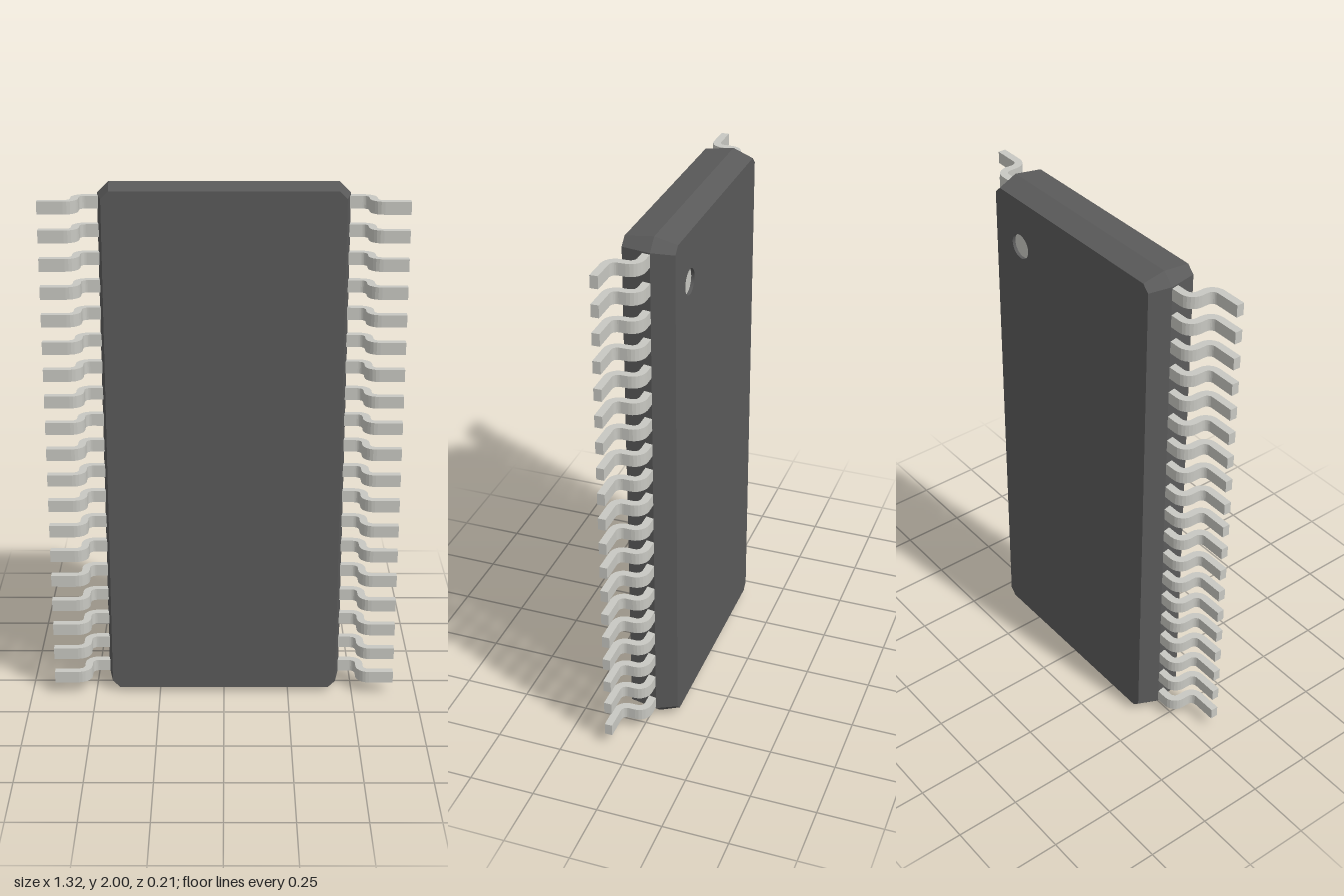
import * as THREE from 'three';

const BACK = -0.103, SEAM = -0.025, FRONT = 0.081;
const DOT = { x: 0.285, y: 1.79, r: 0.047, depth: 0.012 };

// Chamfered rectangle, counter-clockwise seen from +z
function outline(hw, hh, c) {
  return [
    [-hw + c, -hh], [hw - c, -hh], [hw, -hh + c], [hw, hh - c],
    [hw - c, hh], [-hw + c, hh], [-hw, hh - c], [-hw, -hh + c],
  ].map(([x, y]) => new THREE.Vector2(x, y + 1));
}

// Sloping wall between two outlines
function wall(a, za, b, zb) {
  const pos = [];
  a.forEach((p, i) => {
    const j = (i + 1) % a.length;
    const A = [p.x, p.y, za], B = [a[j].x, a[j].y, za];
    const C = [b[j].x, b[j].y, zb], D = [b[i].x, b[i].y, zb];
    pos.push(...A, ...B, ...C, ...A, ...C, ...D);
  });
  const geo = new THREE.BufferGeometry();
  geo.setAttribute('position', new THREE.Float32BufferAttribute(pos, 3));
  geo.computeVertexNormals();
  return geo;
}

// Bent lead cross-section in x and z, offset t from its centre line
function leadEdge(t) {
  const r = 0.036, pts = [new THREE.Vector2(0.44, -0.0105 - t)];
  for (let i = 0; i <= 6; i++) {
    const a = (i / 6) * Math.PI / 2;
    pts.push(new THREE.Vector2(0.495 + (r + t) * Math.sin(a), 0.0255 - (r + t) * Math.cos(a)));
  }
  for (let i = 0; i <= 6; i++) {
    const a = (i / 6) * Math.PI / 2;
    pts.push(new THREE.Vector2(0.567 - (r - t) * Math.cos(a), 0.0525 + (r - t) * Math.sin(a)));
  }
  pts.push(new THREE.Vector2(0.66, 0.0885 - t));
  return pts;
}

export function createModel() {
  const group = new THREE.Group();
  const plastic = new THREE.MeshStandardMaterial({ color: 0x5a5a5a });
  const metal = new THREE.MeshStandardMaterial({ color: 0xc8c8c2 });
  const add = (parent, name, geo, mat) => {
    const mesh = new THREE.Mesh(geo, mat);
    mesh.name = name;
    parent.add(mesh);
    return mesh;
  };

  // Package body: two tapered halves meeting at the seam
  const body = new THREE.Group();
  body.name = 'body';
  group.add(body);
  const back = outline(0.427, 0.975, 0.026);
  const seam = outline(0.455, 1, 0.042);
  const front = outline(0.436, 0.985, 0.028);
  add(body, 'backBevel', wall(back, BACK, seam, SEAM), plastic);
  add(body, 'frontBevel', wall(seam, SEAM, front, FRONT), plastic);
  add(body, 'frontFace', new THREE.ShapeGeometry(new THREE.Shape(front)), plastic).position.z = FRONT;

  // Back face with a round hole (mirrored, since it is turned to face -z)
  const backShape = new THREE.Shape(back);
  backShape.holes.push(new THREE.Path().absarc(-DOT.x, DOT.y, DOT.r, 0, Math.PI * 2, true));
  const backFace = add(body, 'backFace', new THREE.ShapeGeometry(backShape, 24), plastic);
  backFace.rotation.y = Math.PI;
  backFace.position.z = BACK;

  // Recessed orientation dot
  const rimMaterial = plastic.clone();
  rimMaterial.side = THREE.BackSide;
  const rimGeo = new THREE.CylinderGeometry(DOT.r, DOT.r, DOT.depth, 48, 1, true).rotateX(Math.PI / 2);
  add(body, 'dotRim', rimGeo, rimMaterial).position.set(DOT.x, DOT.y, BACK + DOT.depth / 2);
  const dot = add(body, 'orientationDot', new THREE.CircleGeometry(DOT.r, 48), metal);
  dot.rotation.y = Math.PI;
  dot.position.set(DOT.x, DOT.y, BACK + DOT.depth);

  // Bent leads, 19 on each side
  const half = 0.0145, height = 0.046, pitch = 0.1033, count = 19;
  const profile = new THREE.Shape([...leadEdge(half), ...leadEdge(-half).reverse()]);
  const leadGeo = new THREE.ExtrudeGeometry(profile, { depth: height, bevelEnabled: false });
  leadGeo.translate(0, 0, -height / 2).rotateX(Math.PI / 2);
  // Same lead mirrored in x: half a turn about z
  const mirrored = leadGeo.clone().rotateZ(Math.PI);
  for (const [name, geo] of [['leftLeads', leadGeo], ['rightLeads', mirrored]]) {
    const row = new THREE.Group();
    row.name = name;
    for (let i = 0; i < count; i++) {
      add(row, 'lead', geo, metal).position.y = 1 + (i - (count - 1) / 2) * pitch;
    }
    group.add(row);
  }
  return group;
}
